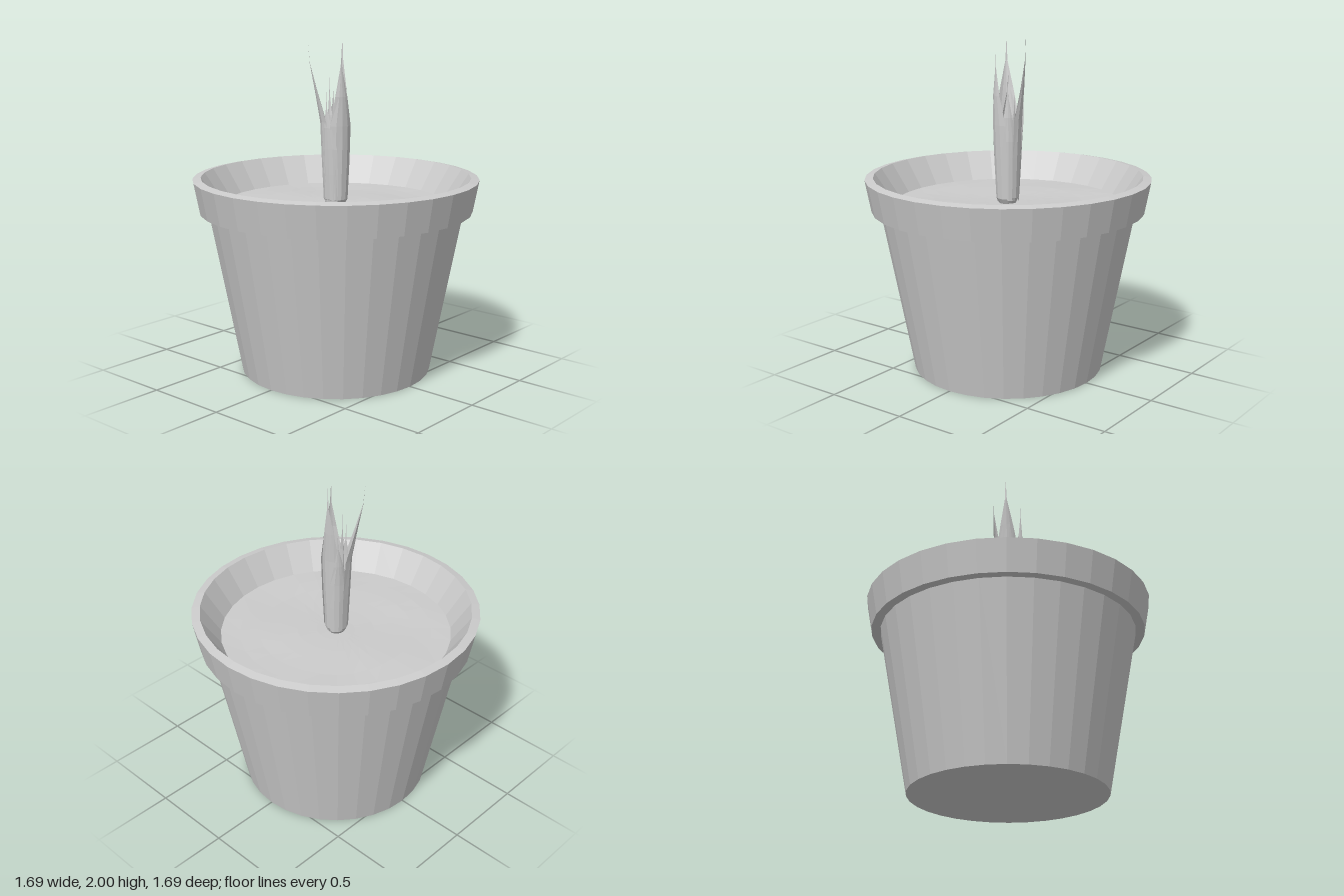
import * as THREE from 'three';

const material = new THREE.MeshStandardMaterial({ color: 0xcccccc, flatShading: true });
const leafMaterial = new THREE.MeshStandardMaterial({ color: 0xcccccc, flatShading: true, side: THREE.DoubleSide });

function part(name, geometry, mat = material) {
  const mesh = new THREE.Mesh(geometry, mat);
  mesh.name = name;
  return mesh;
}

// Gently uneven earth: a disc whose inner vertices are rippled
function soilGeometry() {
  const geo = new THREE.RingGeometry(0.001, 0.685, 32, 6).rotateX(-Math.PI / 2);
  const pos = geo.attributes.position;
  for (let i = 0; i < pos.count; i++) {
    const x = pos.getX(i), z = pos.getZ(i), r = Math.hypot(x, z);
    const bump = 0.008 * Math.sin(7 * x + 3 * z) * Math.cos(6 * z - 2 * x);
    pos.setY(i, 1.01 + bump * Math.min(1, (0.685 - r) * 5));
  }
  return geo;
}

// A blade curled around the stem axis, tapering into a point at tip [x, y, z].
// angle: direction the blade faces (0 = +z), spread: half of the arc it covers.
function leafGeometry(angle, spread, radius, tip) {
  const base = 0.985, height = tip[1] - base, cols = 4;
  // [share of height, radius factor, spread factor]
  const rows = [[0, 0.45, 1], [0.06, 0.85, 1], [0.3, 0.98, 1], [0.52, 1.08, 0.9],
    [0.7, 1.18, 0.65], [0.86, 1.22, 0.32], [1, 1, 0]];
  const positions = [], index = [];
  rows.forEach(([t, rf, sf], row) => {
    const pull = THREE.MathUtils.smoothstep(t, 0.5, 1);
    for (let c = 0; c <= cols; c++) {
      const a = angle + spread * sf * (2 * c / cols - 1);
      const x = Math.sin(a) * radius * rf, z = Math.cos(a) * radius * rf;
      positions.push(
        THREE.MathUtils.lerp(x, tip[0], pull),
        base + height * t,
        THREE.MathUtils.lerp(z, tip[2], pull));
      if (row && c) {
        const d = row * (cols + 1) + c, b = d - cols - 1;
        index.push(b - 1, b, d, b - 1, d, d - 1);
      }
    }
  });
  const geo = new THREE.BufferGeometry();
  geo.setAttribute('position', new THREE.Float32BufferAttribute(positions, 3));
  geo.setIndex(index);
  geo.computeVertexNormals();
  return geo;
}

export function createModel() {
  const model = new THREE.Group();

  // Tapered pot with an overhanging collar and sloping inner wall
  const profile = [[0, 0], [0.57, 0], [0.757, 0.98], [0.81, 0.98], [0.846, 1.17],
    [0.797, 1.18], [0.68, 1.005]].map(([x, y]) => new THREE.Vector2(x, y));
  model.add(part('pot', new THREE.LatheGeometry(profile, 32)));
  model.add(part('soil', soilGeometry()));

  // Shoot: overlapping outer blades around shorter inner ones
  const shoot = new THREE.Group();
  shoot.name = 'shoot';
  const leaves = [
    [-2.4, 1.0, 0.085, [-0.105, 1.98, -0.125]],
    [-0.4, 0.95, 0.083, [-0.035, 1.94, 0.07]],
    [1.85, 0.85, 0.075, [0.1, 2.0, -0.035]],
    [0.65, 0.75, 0.07, [0.03, 1.76, 0.05]],
    [2.6, 0.8, 0.075, [0.06, 1.7, -0.07]],
    [-1.4, 0.7, 0.08, [-0.085, 1.68, 0]],
    [1.2, 1.2, 0.045, [0.055, 1.66, 0.01]],
    [-1.9, 1.2, 0.045, [-0.02, 1.78, -0.03]],
  ];
  leaves.forEach((leaf, i) => shoot.add(part(`leaf${i + 1}`, leafGeometry(...leaf), leafMaterial)));
  shoot.add(part('shootBase', new THREE.CylinderGeometry(0.06, 0.035, 0.06, 8).translate(0, 1.015, 0)));
  model.add(shoot);

  return model;
}
